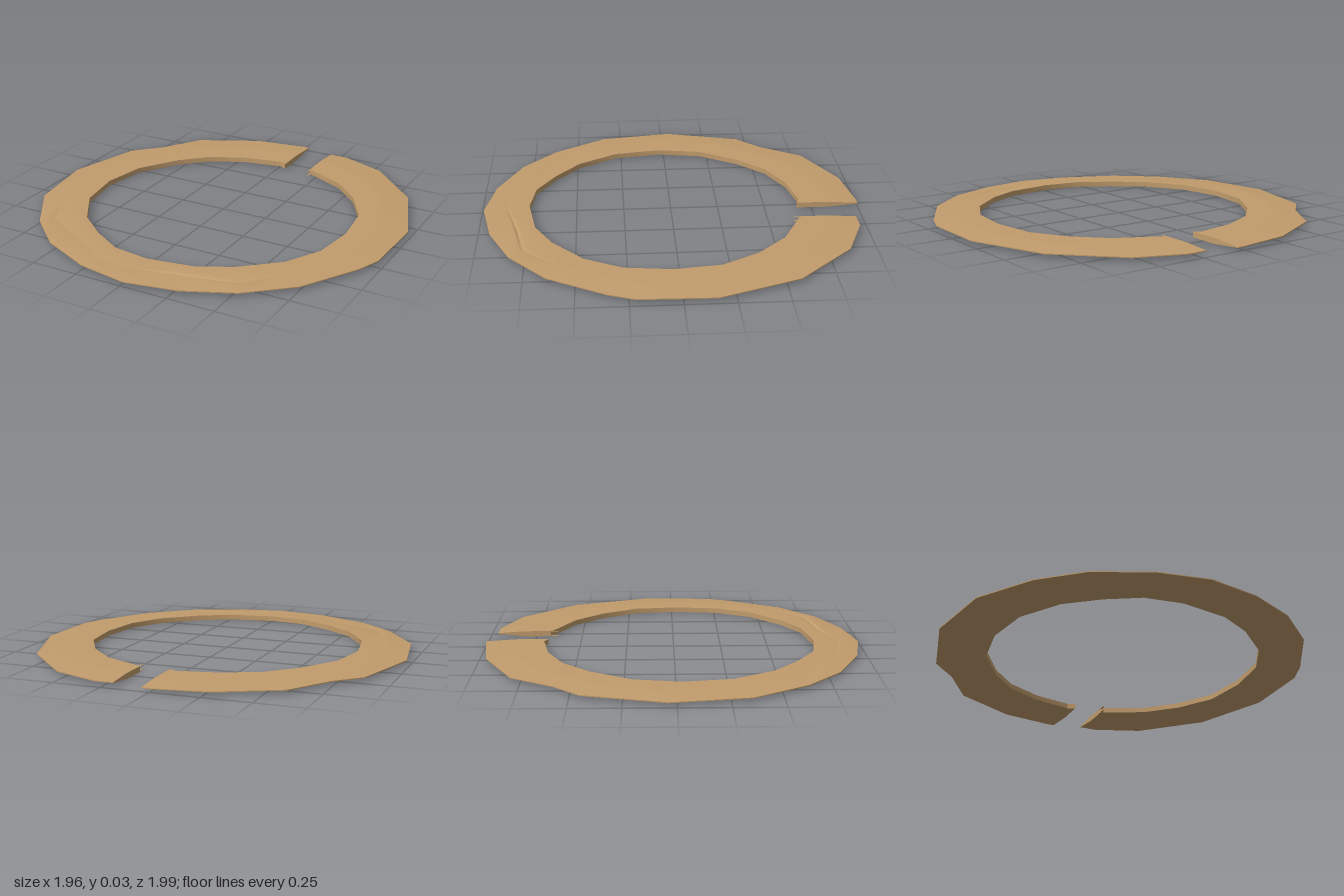
import * as THREE from 'three';
import { toCreasedNormals } from 'three/addons/utils/BufferGeometryUtils.js';

// Plan outlines [x, z], clockwise from one side of the gap to the other
const OUTER = [
  [0.2, -0.96], [0.3, -0.96], [0.55, -0.86], [0.83, -0.57], [0.98, -0.16], [0.97, 0.22],
  [0.92, 0.35], [0.75, 0.64], [0.53, 0.83], [0.28, 0.94], [0.01, 0.99], [-0.26, 0.94],
  [-0.54, 0.81], [-0.74, 0.63], [-0.92, 0.35], [-0.98, -0.04], [-0.87, -0.45], [-0.74, -0.58],
  [-0.6, -0.8], [-0.28, -0.96], [0, -1], [0.04, -1],
];
const INNER = [
  [0.2, -0.67], [0.23, -0.65], [0.43, -0.55], [0.58, -0.4], [0.69, -0.21], [0.72, 0.03],
  [0.69, 0.27], [0.59, 0.46], [0.41, 0.62], [0.24, 0.71], [-0.01, 0.75], [-0.21, 0.72],
  [-0.38, 0.62], [-0.54, 0.49], [-0.67, 0.28], [-0.71, 0.03], [-0.67, -0.21], [-0.54, -0.42],
  [-0.4, -0.56], [-0.21, -0.65], [0, -0.69], [0.04, -0.67],
];
// Worn crease along the front: station -> [fraction across the band, depth]
const CREASE = { 8: [0.65, 0.005], 9: [0.4, 0.009], 10: [0.5, 0.002], 11: [0.6, 0.003], 12: [0.42, 0.002], 13: [0.7, 0.005] };

// Cross-section at one station: [fraction across, height]
function section(i) {
  const [f, depth] = CREASE[i] || [0.5, 0];
  return [
    [0, 0.002], [0, 0.03], [f - 0.06, 0.03], [f, 0.03 - depth], [f + 0.06, 0.029],
    [1, 0.02], [1, 0.015], [0.45, 0],
  ];
}

function bandGeometry() {
  const pos = [], index = [], n = 8, last = OUTER.length - 1;
  OUTER.forEach(([ox, oz], i) => {
    const [ix, iz] = INNER[i];
    for (const [f, y] of section(i)) pos.push(ix + (ox - ix) * f, y, iz + (oz - iz) * f);
  });
  for (let i = 0; i < last; i++) {
    for (let j = 0; j < n; j++) {
      const a = i * n + j, b = i * n + (j + 1) % n;
      index.push(a, a + n, b, b, a + n, b + n);
    }
  }
  // End faces at the gap
  for (let j = 1; j < n - 1; j++) {
    index.push(0, j, j + 1);
    index.push(last * n, last * n + j + 1, last * n + j);
  }
  const g = new THREE.BufferGeometry();
  g.setAttribute('position', new THREE.Float32BufferAttribute(pos, 3));
  g.setIndex(index);
  return toCreasedNormals(g, 0.5);
}

export function createModel() {
  const model = new THREE.Group();
  model.name = 'splitRing';
  const tan = new THREE.MeshStandardMaterial({ color: 0xc19c6c });
  tan.name = 'tan';

  const band = new THREE.Mesh(bandGeometry(), tan);
  band.name = 'ringBand';
  model.add(band);

  // Two tiny slivers at the inner corner of the gap
  const shape = new THREE.Shape([[0.2, 0.69], [0.215, 0.67], [0.205, 0.63], [0.198, 0.63]].map(([x, y]) => new THREE.Vector2(x, y)));
  for (const [name, y] of [['upperSliver', 0.027], ['lowerSliver', 0.004]]) {
    const g = new THREE.ExtrudeGeometry(shape, { depth: 0.002, bevelEnabled: false });
    g.rotateX(-Math.PI / 2);
    const sliver = new THREE.Mesh(g, tan);
    sliver.position.y = y;
    sliver.name = name;
    model.add(sliver);
  }
  return model;
}
